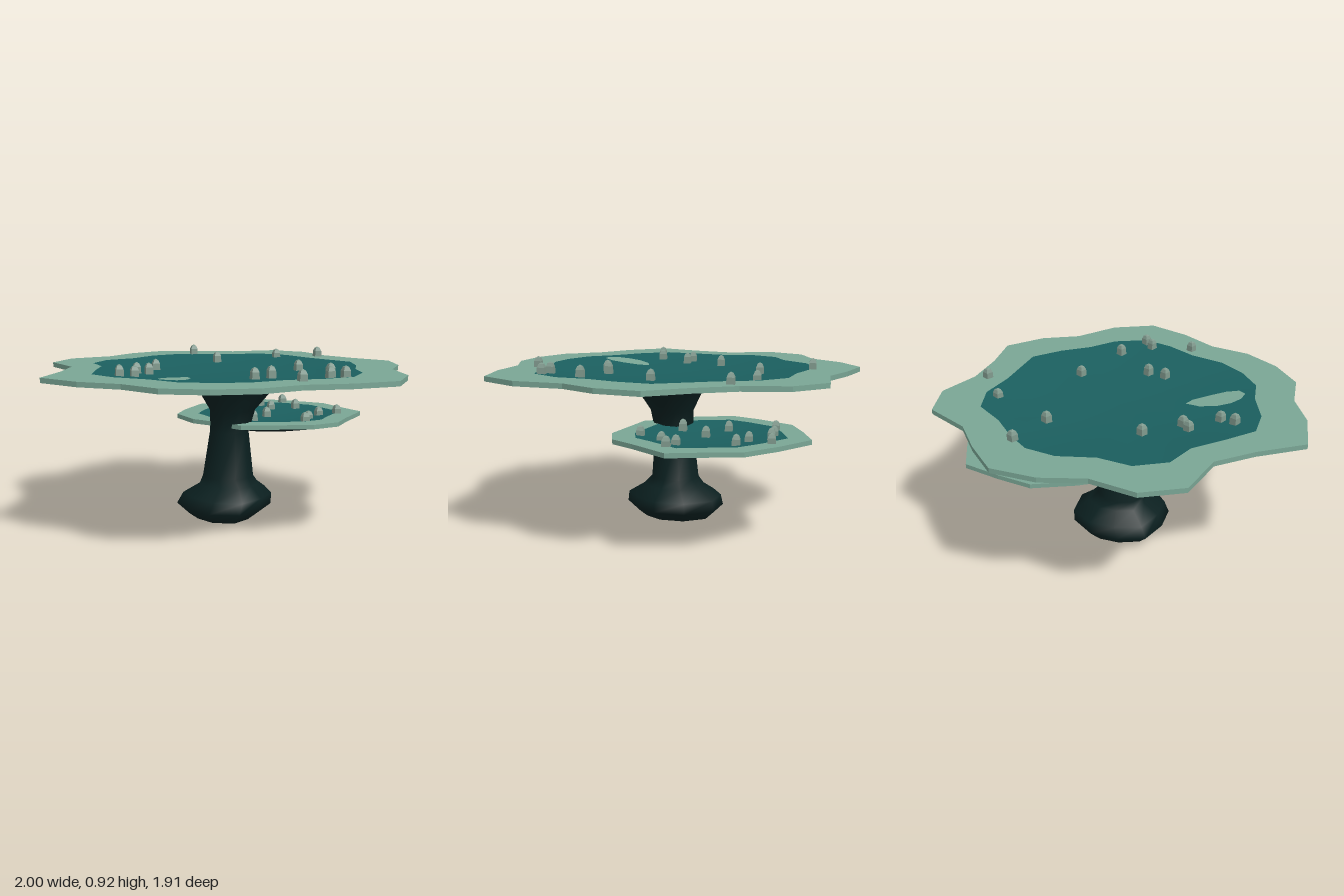
import * as THREE from 'three';

const mat = (name, color) => {
  const m = new THREE.MeshStandardMaterial({ color });
  m.name = name;
  return m;
};

// Outlines as [x, z], clockwise seen from above
const TOP_RIM = [[-.10, -.96], [.12, -.89], [.32, -.80], [.59, -.80], [.74, -.63], [.77, -.39], [.87, -.18],
  [1, .02], [.94, .25], [.81, .43], [.76, .69], [.61, .89], [.36, .915], [.12, .89], [-.10, .95], [-.33, .92],
  [-.54, .82], [-.67, .62], [-.85, .48], [-1, .27], [-.87, .03], [-.79, -.18], [-.86, -.44], [-.73, -.63],
  [-.49, -.70], [-.32, -.86]];
const TOP_POOL = [[-.07, -.72], [.08, -.69], [.25, -.63], [.44, -.60], [.56, -.47], [.62, -.28], [.76, .02],
  [.71, .20], [.63, .36], [.59, .53], [.47, .68], [.30, .71], [.11, .70], [-.08, .74], [-.25, .71], [-.41, .63],
  [-.51, .49], [-.66, .35], [-.74, .20], [-.69, .02], [-.63, -.16], [-.65, -.33], [-.55, -.48], [-.38, -.54],
  [-.23, -.67]];
const ISLAND = [[-.25, .23], [-.25, .29], [-.29, .39], [-.33, .47], [-.38, .52], [-.43, .51], [-.45, .45],
  [-.44, .38], [-.40, .31], [-.33, .25]];
const LOW_RIM = [[.45, -.72], [.64, -.57], [.79, -.42], [.83, -.22], [.87, -.06], [.69, .13], [.59, .25],
  [.43, .29], [.22, .24], [.05, .20], [-.02, .08], [-.14, -.08], [-.18, -.28], [-.10, -.42], [.05, -.61],
  [.24, -.67]];

// Scale an outline about a centre
const scaled = (pts, s, [cx, cz] = [0, 0]) => pts.map(([x, z]) => [cx + (x - cx) * s, cz + (z - cz) * s]);
const toVec = pts => pts.map(([x, z]) => new THREE.Vector2(x, -z));

// Skin over equal-length rings: bottom to top faces outward, rim to centre faces up
function loft(rings) {
  const n = rings[0].length, pos = rings.flat(2), idx = [];
  for (let i = 0; i < rings.length - 1; i++) {
    for (let j = 0; j < n; j++) {
      const a = i * n + j, b = i * n + (j + 1) % n, c = a + n, d = b + n;
      idx.push(a, c, b, b, c, d);
    }
  }
  const g = new THREE.BufferGeometry();
  g.setAttribute('position', new THREE.Float32BufferAttribute(pos, 3));
  g.setIndex(idx);
  g.computeVertexNormals();
  return g;
}

// Loft of one outline through [scale, y] steps
const dish = (outline, steps, centre) =>
  loft(steps.map(([s, y]) => scaled(outline, s, centre).map(([x, z]) => [x, y, z])));

export function createModel() {
  const model = new THREE.Group();
  model.name = 'terracedPlateau';
  const pale = mat('paleGreenRim', 0x7aa695);
  const teal = mat('deepTealPool', 0x1b5f5f);
  const dark = mat('darkTrunk', 0x0b2020);
  const stone = mat('greyGreenStone', 0x80998d);
  stone.flatShading = true;

  const add = (parent, name, geometry, material) => {
    const m = new THREE.Mesh(geometry, material);
    m.name = name;
    parent.add(m);
    return m;
  };

  // Small four-sided pointed stone, its tip at the origin
  const stoneGeo = new THREE.LatheGeometry(
    [[.029, -.068], [.027, -.026], [.017, -.008], [0, 0]].map(p => new THREE.Vector2(...p)), 4, Math.PI / 4);

  // Terrace: rim slab, sunken pool, dark underside and stones given as [x, z, tip height]
  function terrace(name, { rim, pool, centre, top, thick, sink, under, stones }) {
    const g = new THREE.Group();
    g.name = name;
    model.add(g);

    const shape = new THREE.Shape(toVec(rim));
    shape.holes.push(new THREE.Path(toVec(pool)));
    const slab = new THREE.ExtrudeGeometry(shape, { depth: thick, bevelEnabled: false });
    slab.rotateX(-Math.PI / 2).translate(0, top - thick, 0);
    add(g, name + 'Rim', slab, pale);

    const bowl = [[1, 0], [.8, .4], [.6, .75], [.35, .95], [0, 1]].map(([s, k]) => [s, top - sink * k]);
    add(g, name + 'Pool', dish(pool, bowl, centre), teal);
    add(g, name + 'Underside', dish(rim, under, centre), dark);

    stones.forEach(([x, z, tip]) => add(g, 'stone', stoneGeo, stone).position.set(x, tip, z));
    return g;
  }

  const upper = terrace('upperTerrace', {
    rim: TOP_RIM, pool: TOP_POOL, centre: [0, 0], top: .857, thick: .026, sink: .038,
    under: [[0, .75], [.22, .755], [.7, .803], [.998, .832]],
    stones: [[.035, -.71, .915], [.105, -.435, .895], [.485, -.45, .90], [.71, -.345, .915], [-.325, -.18, .887],
      [-.47, .005, .892], [-.41, .03, .89], [-.60, .21, .905], [-.52, .195, .896], [.415, .09, .888],
      [.055, .40, .89], [.155, .37, .893], [.45, .445, .905], [.37, .625, .91], [.44, .65, .912],
      [.17, .755, .915]],
  });

  // Island lying on the slope of the upper pool
  const island = [1, .5, 0].map(s => scaled(ISLAND, s, [-.36, .38]).map(([x, z]) => {
    const d = Math.hypot(x, z) - .34;
    return [x, .829 + .045 * d + .1 * d * d, z];
  }));
  add(upper, 'island', loft(island), pale);

  terrace('lowerTerrace', {
    rim: LOW_RIM, pool: scaled(LOW_RIM, .77, [.35, -.21]), centre: [.36, -.21], top: .555, thick: .024, sink: .025,
    under: [[0, .455], [.35, .465], [.72, .503], [.998, .532]],
    stones: [[.20, -.53, .605], [.33, -.53, .60], [.41, -.52, .605], [.44, -.41, .59], [.56, -.53, .607],
      [.58, -.36, .60], [.61, -.07, .595], [.71, -.04, .607], [.51, .02, .59], [.44, .14, .603],
      [.33, -.18, .59], [.16, -.28, .59], [.20, -.04, .60]],
  });

  // Trunk with a swollen, uneven foot: [y, cx, cz, rx, rz, unevenness]
  const wobble = [.02, .12, .08, 0, -.08, .05, .02, -.06, .04, -.04];
  const trunk = [
    [0, .01, .02, 0, 0, 0], [.03, 0, .03, .18, .2, 1], [.09, .01, .03, .255, .26, 1], [.15, .03, .03, .24, .25, 1],
    [.205, .04, .03, .16, .165, 1], [.25, .03, .03, .14, .13, 0], [.5, .035, .035, .106, .107, 0],
    [.62, .05, .045, .125, .118, 0], [.77, .07, .055, .235, .2, 0],
  ].map(([y, cx, cz, rx, rz, w]) => wobble.map((k, j) => {
    const a = j / wobble.length * Math.PI * 2, f = 1 + k * w;
    return [cx + Math.sin(a) * rx * f, y, cz - Math.cos(a) * rz * f];
  }));
  add(model, 'trunk', loft(trunk), dark);

  return model;
}
